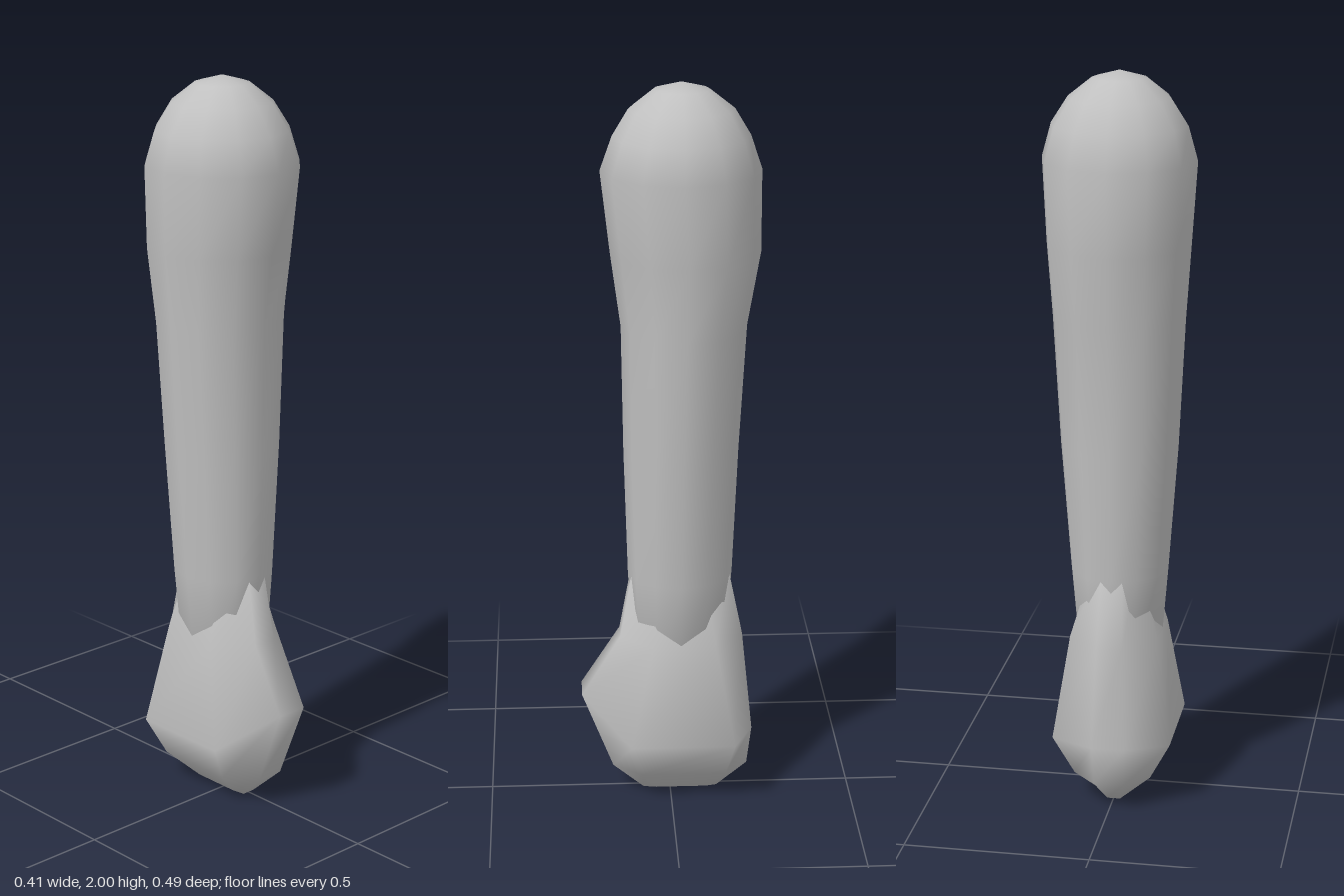
import * as THREE from 'three';

// Joins closed rings of points, listed from bottom to top, into one smooth skin with capped ends.
function loft(rings, bottom, top) {
  const n = rings[0].length;
  const points = [...rings.flat(), bottom, top];
  const index = [];
  for (let r = 0; r < rings.length - 1; r++) {
    for (let i = 0; i < n; i++) {
      const a = r * n + i, b = r * n + (i + 1) % n;
      index.push(a, b, b + n, a, b + n, a + n);
    }
  }
  const last = (rings.length - 1) * n, low = rings.length * n;
  for (let i = 0; i < n; i++) {
    const j = (i + 1) % n;
    index.push(low, j, i, low + 1, last + i, last + j);
  }
  const geometry = new THREE.BufferGeometry();
  geometry.setAttribute('position', new THREE.Float32BufferAttribute(points.flat(), 3));
  geometry.setIndex(index);
  geometry.computeVertexNormals();
  return geometry;
}

// Twelve-sided oval ring: height, half width, front z, back z
function ovalRing([y, rx, front, back]) {
  const zc = (front + back) / 2, rz = (front - back) / 2;
  return Array.from({ length: 12 }, (_, i) => {
    const a = i * Math.PI / 6;
    return [rx * Math.sin(a), y, zc + rz * Math.cos(a)];
  });
}

// Eight-cornered ring: height, side x, side front z, side back z, end x, front z, back z, front height
function fistRing([y, sx, sf, sb, ex, front, back, frontY = y]) {
  return [
    [ex, frontY, front], [sx, y, sf], [sx, y, sb], [ex, y, back],
    [-ex, y, back], [-sx, y, sb], [-sx, y, sf], [-ex, frontY, front],
  ];
}

export function createModel() {
  const group = new THREE.Group();
  const grey = new THREE.MeshStandardMaterial({ color: 0xc0c0c0 });
  grey.name = 'plain grey';

  // Tapered limb with a rounded upper end
  const limbRings = [
    [0.40, 0.113, 0.10, -0.15],
    [0.65, 0.134, 0.115, -0.17],
    [1.00, 0.16, 0.125, -0.185],
    [1.35, 0.178, 0.13, -0.205],
    [1.55, 0.192, 0.157, -0.24],
    [1.77, 0.205, 0.182, -0.24],
    [1.86, 0.18, 0.15, -0.21],
    [1.93, 0.135, 0.108, -0.168],
    [1.98, 0.072, 0.044, -0.104],
  ].map(ovalRing);
  const limb = new THREE.Mesh(loft(limbRings, [0, 0.40, -0.025], [0, 2, -0.03]), grey);
  limb.name = 'forearm';

  // Faceted fist, with a forward bulge, wrapping the end of the limb
  const fistRings = [
    [0, 0.025, 0.04, -0.10, 0.018, 0.075, -0.13],
    [0.08, 0.105, 0.08, -0.15, 0.04, 0.16, -0.213],
    [0.19, 0.162, 0.112, -0.172, 0.045, 0.245, -0.226, 0.30],
    [0.47, 0.121, 0.05, -0.12, 0.035, 0.138, -0.198],
    [0.68, 0.06, 0.03, -0.09, 0.028, 0.10, -0.155],
  ].map(fistRing);
  const fist = new THREE.Mesh(loft(fistRings, [0, 0, -0.03], [0, 0.68, -0.03]), grey);
  fist.name = 'fist';

  group.add(limb, fist);
  return group;
}
